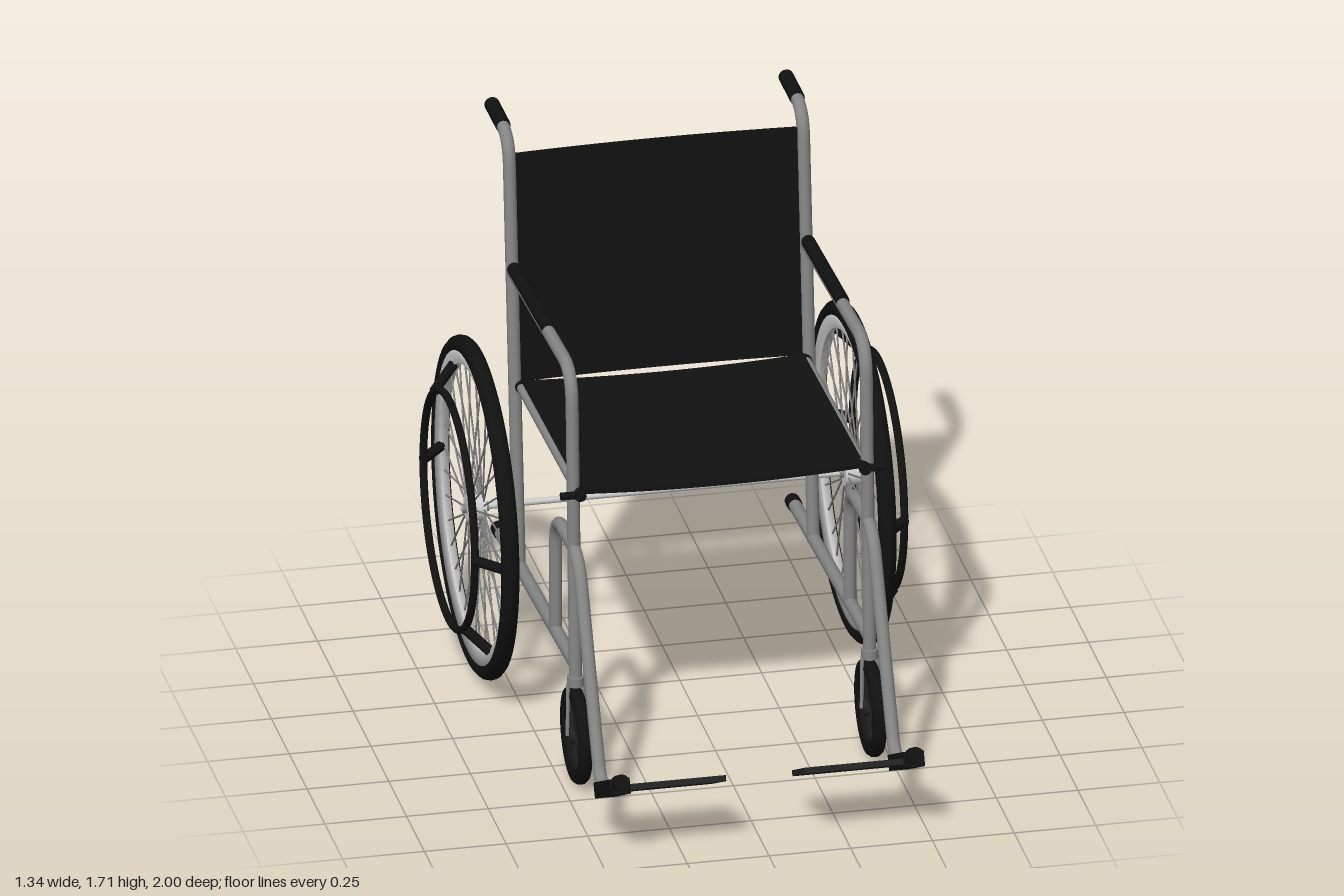
import * as THREE from 'three';

const mat = (color, side = THREE.FrontSide) => new THREE.MeshStandardMaterial({ color, side });
const STEEL = mat(0x858585), LIGHT = mat(0xcccccc), BLACK = mat(0x111111), DARK = mat(0x222222);
const V = (x, y, z) => new THREE.Vector3(x, y, z);

function add(parent, name, geometry, material) {
  const mesh = new THREE.Mesh(geometry, material);
  mesh.name = name;
  parent.add(mesh);
  return mesh;
}

// Straight round bar between two points
function rod(parent, name, a, b, radius, material, sides = 12) {
  const mesh = add(parent, name, new THREE.CylinderGeometry(radius, radius, a.distanceTo(b), sides), material);
  mesh.position.lerpVectors(a, b, 0.5);
  mesh.quaternion.setFromUnitVectors(V(0, 1, 0), b.clone().sub(a).normalize());
  return mesh;
}

// Bent tube in a plane of constant x: points are [z, y, bend size]
function bentTube(parent, name, x, pts, radius, material) {
  const path = new THREE.CurvePath();
  const p = pts.map(([z, y]) => V(x, y, z));
  let from = p[0];
  for (let i = 1; i < p.length - 1; i++) {
    const bend = pts[i][2];
    const into = p[i].clone().add(p[i - 1].clone().sub(p[i]).setLength(bend));
    const out = p[i].clone().add(p[i + 1].clone().sub(p[i]).setLength(bend));
    path.add(new THREE.LineCurve3(from, into));
    path.add(new THREE.QuadraticBezierCurve3(into, p[i], out));
    from = out;
  }
  path.add(new THREE.LineCurve3(from, p[p.length - 1]));
  return add(parent, name, new THREE.TubeGeometry(path, 64, radius, 12), material);
}

// Ring lying in the plane of the wheel
function ring(parent, name, x, radius, tube, material) {
  const mesh = add(parent, name, new THREE.TorusGeometry(radius, tube, 12, 72), material);
  mesh.rotation.y = Math.PI / 2;
  mesh.position.x = x;
  return mesh;
}

// Closed profile of [radius, x] turned around the wheel axle
function turned(parent, name, profile, material) {
  const pts = profile.map(([r, h]) => new THREE.Vector2(r, h));
  const geo = new THREE.LatheGeometry(pts, 64);
  const mesh = add(parent, name, geo.rotateZ(-Math.PI / 2), material);
  return mesh;
}

function rearWheel(s) {
  const g = new THREE.Group();
  g.name = 'rearWheel';
  g.position.set(s * 0.577, 0.53, -0.475);
  ring(g, 'tyre', 0, 0.492, 0.028, BLACK);
  turned(g, 'rim', [[0.435, -0.012], [0.475, -0.022], [0.475, 0.022], [0.435, 0.012], [0.435, -0.012]],
    mat(0xcccccc, THREE.DoubleSide));
  rod(g, 'hub', V(-0.028, 0, 0), V(0.028, 0, 0), 0.04, LIGHT, 24);
  rod(g, 'hubCap', V(-0.04, 0, 0), V(0.04, 0, 0), 0.014, STEEL);
  // spokes alternate between the two hub flanges
  const at = (x, r, a) => V(x, r * Math.sin(a), r * Math.cos(a));
  for (let i = 0; i < 36; i++) {
    const a = (i / 36) * Math.PI * 2;
    rod(g, 'spoke', at(i % 2 ? 0.02 : -0.02, 0.036, a), at(0, 0.44, a), 0.003, STEEL, 5);
  }
  // push ring and its stays
  ring(g, 'pushRing', s * 0.08, 0.362, 0.012, BLACK);
  for (const deg of [0, 126, 180, 306]) {
    const a = THREE.MathUtils.degToRad(deg);
    rod(g, 'pushRingStay', at(s * 0.08, 0.362, a), at(s * 0.01, 0.44, a), 0.016, BLACK);
  }
  return g;
}

function caster(s) {
  const g = new THREE.Group();
  g.name = 'caster';
  g.position.set(s * 0.45, 0.153, 0.36);
  turned(g, 'casterTyre', [[0.105, -0.016], [0.125, -0.022], [0.142, -0.019], [0.15, -0.008], [0.15, 0.008],
    [0.142, 0.019], [0.125, 0.022], [0.105, 0.016], [0.105, -0.016]], mat(0x111111, THREE.DoubleSide));
  rod(g, 'casterDisc', V(-0.008, 0, 0), V(0.008, 0, 0), 0.11, DARK, 40);
  rod(g, 'casterHub', V(-0.024, 0, 0), V(0.024, 0, 0), 0.026, DARK, 20);
  for (let i = 0; i < 6; i++) {
    const a = (i / 6) * Math.PI * 2;
    rod(g, 'casterRib', V(0, 0, 0), V(0, 0.11 * Math.sin(a), 0.11 * Math.cos(a)), 0.013, DARK, 8);
  }
  // fork
  for (const x of [-0.027, 0.027]) rod(g, 'forkLeg', V(x, 0, 0), V(x * 0.85, 0.165, -0.01), 0.006, STEEL, 8);
  rod(g, 'forkCrown', V(0, 0.16, -0.01), V(0, 0.19, -0.01), 0.026, STEEL, 16);
  return g;
}

function sideFrame(s) {
  const g = new THREE.Group();
  g.name = 'sideFrame';
  const x = s * 0.45, R = 0.02;
  bentTube(g, 'backPost', x, [[-0.44, 0.33], [-0.588, 1.69, 0.09], [-0.8, 1.69]], R, STEEL);
  rod(g, 'handGrip', V(x, 1.692, -0.665), V(x, 1.69, -0.825), 0.023, BLACK, 16);
  bentTube(g, 'armFrame', x, [[0.35, 0.31], [0.295, 1.325, 0.11], [-0.53, 1.275]], R, STEEL);
  rod(g, 'armPad', V(x, 1.315, -0.03), V(x, 1.288, -0.515), 0.021, BLACK, 16);
  // lower rail and seat rail with end plugs
  rod(g, 'lowerRail', V(x, 0.38, 0.345), V(x, 0.328, -0.72), R, STEEL);
  rod(g, 'railPlug', V(x, 0.33, -0.695), V(x, 0.327, -0.74), 0.023, BLACK);
  rod(g, 'seatRail', V(s * 0.436, 0.938, 0.35), V(s * 0.436, 0.91, -0.535), 0.015, STEEL);
  rod(g, 'seatRailPlug', V(s * 0.436, 0.939, 0.36), V(s * 0.436, 0.937, 0.29), 0.018, BLACK);
  rod(g, 'seatRailPlug', V(s * 0.436, 0.912, -0.47), V(s * 0.436, 0.91, -0.54), 0.018, BLACK);
  rod(g, 'seatBolt', V(s * 0.42, 0.938, 0.345), V(s * 0.495, 0.938, 0.345), 0.012, BLACK);
  // leg support
  bentTube(g, 'legSupport', x, [[0.74, 0.158], [0.69, 0.168, 0.035], [0.39, 0.76, 0.09],
    [0.07, 0.745, 0.09], [0.07, 0.37]], R, STEEL);
  return g;
}

function footRest(s) {
  const g = new THREE.Group();
  g.name = 'footRest';
  g.position.set(s * 0.45, 0.212, 0.868);
  g.rotation.x = -Math.atan2(0.12, 0.235);
  const bar = add(g, 'footBar', new THREE.BoxGeometry(0.062, 0.048, 0.25), BLACK);
  bar.position.z = -0.005;
  rod(g, 'footBarEnd', V(0, 0.01, 0.1), V(0, 0.01, 0.15), 0.025, BLACK, 16);
  // plate with rounded inner corners
  const r = 0.025, w = 0.32, d = 0.118;
  const shape = new THREE.Shape();
  shape.moveTo(0, -d);
  shape.lineTo(w - r, -d);
  shape.quadraticCurveTo(w, -d, w, -d + r);
  shape.lineTo(w, d - r);
  shape.quadraticCurveTo(w, d, w - r, d);
  shape.lineTo(0, d);
  const geo = new THREE.ExtrudeGeometry(shape, { depth: 0.018, bevelEnabled: false });
  geo.rotateX(Math.PI / 2);
  if (s > 0) geo.rotateY(Math.PI);
  add(g, 'footPlate', geo, DARK).position.set(-s * 0.01, 0.005, -0.01);
  return g;
}

// Fabric panel that sags towards its middle
function fabric(name, length, sag) {
  const geo = new THREE.BoxGeometry(0.87, 0.014, length, 16, 1, 1);
  const p = geo.attributes.position;
  for (let i = 0; i < p.count; i++) p.setY(i, p.getY(i) - sag * (1 - (p.getX(i) / 0.435) ** 2));
  geo.computeVertexNormals();
  const mesh = new THREE.Mesh(geo, BLACK);
  mesh.name = name;
  return mesh;
}

export function createModel() {
  const model = new THREE.Group();
  model.name = 'wheelchair';
  for (const s of [1, -1]) model.add(sideFrame(s), rearWheel(s), caster(s), footRest(s));
  rod(model, 'axle', V(-0.62, 0.53, -0.478), V(0.62, 0.53, -0.478), 0.01, LIGHT);

  const seat = fabric('seat', 0.84, 0.014);
  seat.position.set(0, 0.932, -0.078);
  seat.rotation.x = -0.032;
  const back = fabric('backRest', 0.72, 0.018);
  back.position.set(0, 1.277, -0.547);
  back.rotation.x = Math.PI / 2 - 0.108 + Math.PI;
  // turn the panel so that its sag points backwards
  back.rotation.x = Math.PI / 2 - 0.108;
  model.add(seat, back);
  return model;
}
